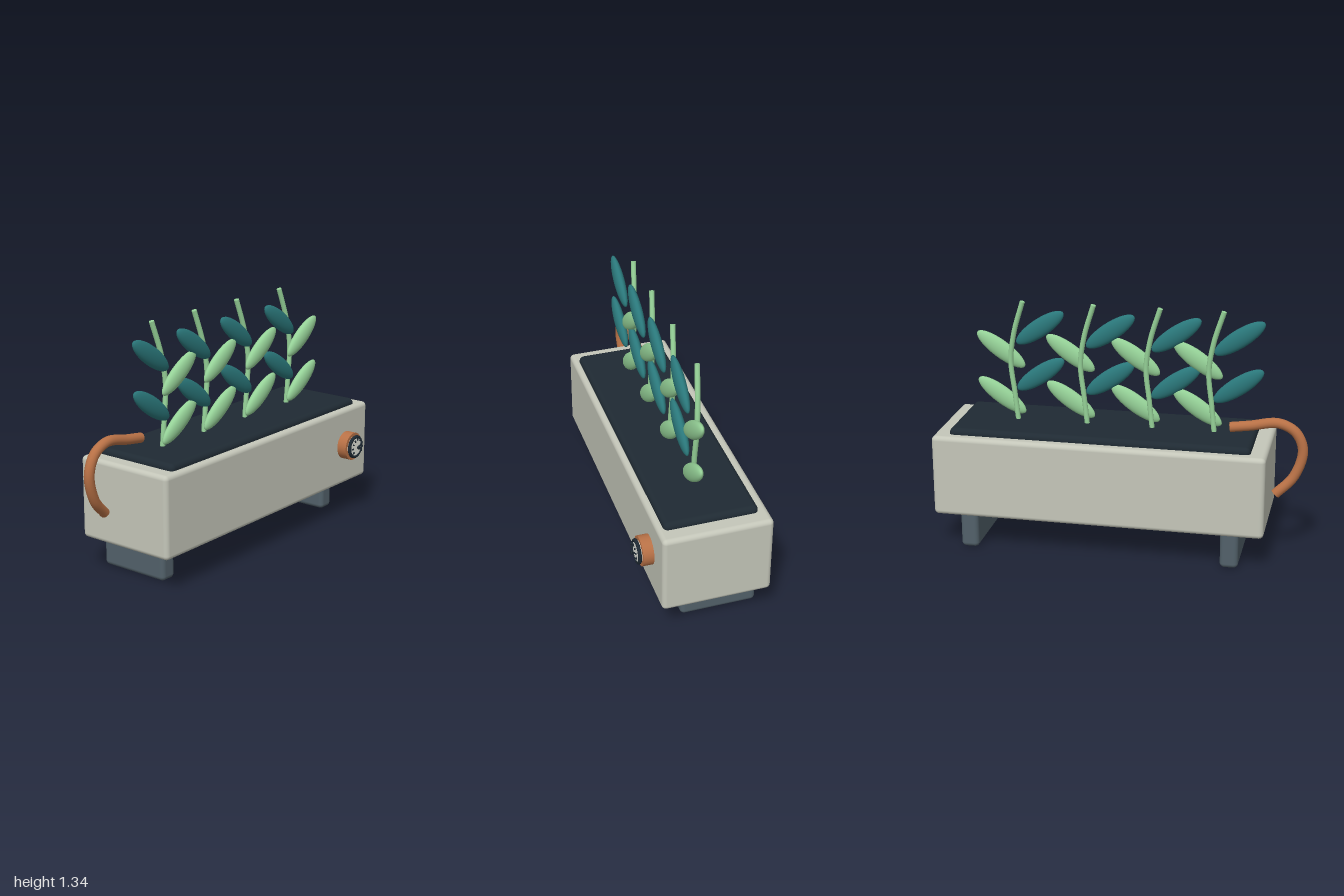
import * as THREE from 'three';
import { RoundedBoxGeometry } from 'three/addons/geometries/RoundedBoxGeometry.js';

const paint = (name, color) => {
  const m = new THREE.MeshStandardMaterial({ color });
  m.name = name;
  return m;
};

export function createModel() {
  const model = new THREE.Group();
  model.name = 'planter';
  const stone = paint('warm grey', 0xc4c6b9);
  const soil = paint('dark soil', 0x1f2a33);
  const slate = paint('slate', 0x52616a);
  const copper = paint('copper', 0xb87146);
  const teal = paint('teal leaf', 0x2a777a);
  const green = paint('light green', 0x95d197);
  const ivory = paint('ivory', 0xe2e3da);

  const add = (name, geometry, material, x = 0, y = 0, z = 0, parent = model) => {
    const mesh = new THREE.Mesh(geometry, material);
    mesh.name = name;
    mesh.position.set(x, y, z);
    parent.add(mesh);
    return mesh;
  };

  // Tube along a smooth curve, closed by a disc at each end
  const cappedTube = (name, points, radius, material, parent) => {
    const group = new THREE.Group();
    group.name = name;
    parent.add(group);
    const curve = new THREE.CatmullRomCurve3(points.map((p) => new THREE.Vector3(...p)));
    add(name + 'Tube', new THREE.TubeGeometry(curve, 48, radius, 16), material, 0, 0, 0, group);
    for (const t of [0, 1]) {
      const p = curve.getPoint(t);
      const out = curve.getTangent(t).multiplyScalar(t ? 1 : -1);
      const cap = add(name + 'Cap', new THREE.CircleGeometry(radius, 16), material, p.x, p.y, p.z, group);
      cap.quaternion.setFromUnitVectors(new THREE.Vector3(0, 0, 1), out);
    }
    return group;
  };

  // Trough, soil and feet
  add('trough', new RoundedBoxGeometry(1.8, 0.45, 0.585, 4, 0.025), stone, 0.1, 0.415, -0.05);
  add('soil', new RoundedBoxGeometry(1.63, 0.09, 0.5, 4, 0.028), soil, 0.1, 0.628, -0.04);
  for (const x of [-0.618, 0.81]) {
    add('foot', new RoundedBoxGeometry(0.098, 0.24, 0.415, 4, 0.025), slate, x, 0.12, -0.11);
  }

  // Four plants, each with a bent stem and alternating leaves
  const leafGeometry = new THREE.SphereGeometry(1, 32, 20).scale(0.16, 0.05, 0.029);
  for (const x of [-0.495, -0.158, 0.2, 0.587]) {
    const plant = new THREE.Group();
    plant.name = 'plant';
    plant.position.x = x;
    model.add(plant);
    cappedTube('stem', [
      [0, 0.63, -0.048], [0.02, 0.82, -0.048], [0.038, 1.0, -0.052],
      [0.015, 1.16, -0.06], [-0.04, 1.34, -0.073],
    ], 0.014, green, plant);
    for (let i = 0; i < 4; i++) {
      const side = i % 2 ? -1 : 1;
      const leaf = add('leaf', leafGeometry, side > 0 ? green : teal,
        side > 0 ? 0.102 : -0.117, 0.79 + i * 0.131, -0.013, plant);
      leaf.rotation.z = side * THREE.MathUtils.degToRad(35);
    }
  }

  // Copper hose hooking over the end of the trough
  cappedTube('hose', [
    [-0.585, 0.727, -0.115], [-0.69, 0.742, -0.115], [-0.84, 0.765, -0.115],
    [-0.932, 0.72, -0.115], [-0.973, 0.62, -0.115], [-0.93, 0.475, -0.125],
    [-0.837, 0.378, -0.145],
  ], 0.027, copper, model);

  // Dial on the front
  const gauge = new THREE.Group();
  gauge.name = 'gauge';
  gauge.position.set(0.78, 0.427, 0.24);
  model.add(gauge);
  const disc = (r, depth) => new THREE.CylinderGeometry(r, r, depth, 40).rotateX(Math.PI / 2);
  add('gaugeCase', disc(0.08, 0.07), copper, 0, 0, 0.025, gauge);
  add('gaugeFace', disc(0.06, 0.02), ivory, 0, 0, 0.068, gauge);
  add('gaugeRim', new THREE.TorusGeometry(0.058, 0.01, 12, 40), soil, 0, 0, 0.072, gauge);
  for (let i = 0; i < 9; i++) {
    const a = THREE.MathUtils.degToRad(-35 + i * 31.25);
    const tick = add('gaugeTick', new THREE.BoxGeometry(0.012, 0.007, 0.006), soil,
      0.046 * Math.cos(a), 0.046 * Math.sin(a), 0.089, gauge);
    tick.rotation.z = a;
  }
  const needle = add('gaugeNeedle', new THREE.BoxGeometry(0.056, 0.008, 0.006), soil, 0.015, 0.01, 0.096, gauge);
  needle.rotation.z = 0.6;
  add('gaugeHub', disc(0.01, 0.012), soil, 0, 0, 0.098, gauge);

  return model;
}
